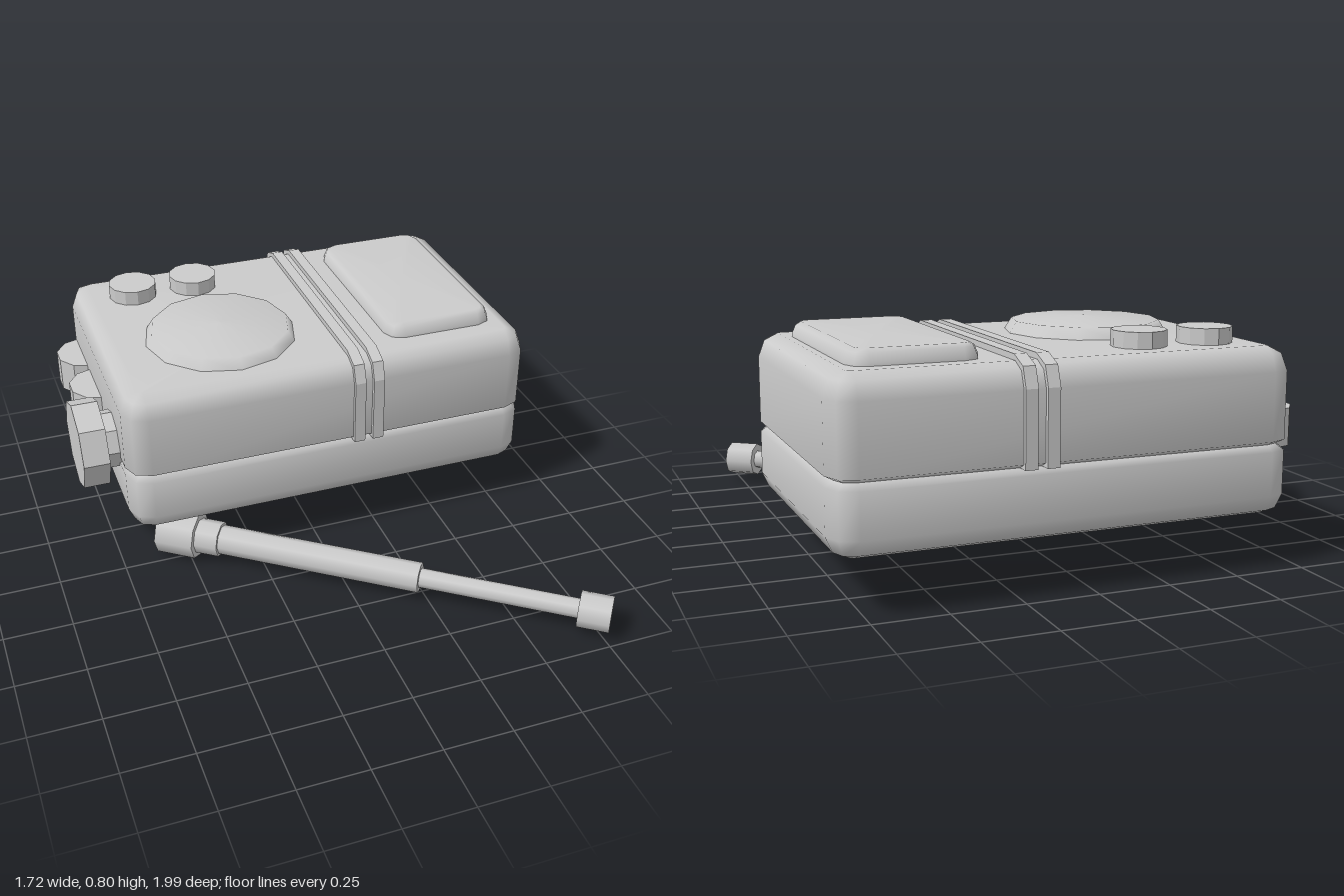
import * as THREE from 'three';

const smooth = new THREE.MeshStandardMaterial({ color: 0xcccccc });
const faceted = new THREE.MeshStandardMaterial({ color: 0xcccccc, flatShading: true });

// Rounded-rectangle loft: layers are [y, inset] from bottom to top
function loft(x0, x1, z0, z1, radius, layers, capBottom, capTop) {
  const pos = [], idx = [], n = 12;
  const cx = (x0 + x1) / 2, cz = (z0 + z1) / 2;
  const hx = (x1 - x0) / 2 - radius, hz = (z1 - z0) / 2 - radius;
  for (const [y, inset] of layers) {
    for (let c = 0; c < 4; c++) {
      const sx = c === 0 || c === 3 ? 1 : -1, sz = c < 2 ? 1 : -1;
      for (let k = 0; k < 3; k++) {
        const a = (c + k / 2) * Math.PI / 2, r = radius - inset;
        pos.push(cx + sx * hx + r * Math.cos(a), y, cz + sz * hz + r * Math.sin(a));
      }
    }
  }
  const last = (layers.length - 1) * n, bottom = pos.length / 3, top = bottom + 1;
  pos.push(cx, layers[0][0], cz, cx, layers[layers.length - 1][0], cz);
  for (let i = 0; i < n; i++) {
    const j = (i + 1) % n;
    for (let b = 0; b < last; b += n) {
      idx.push(b + i, b + n + i, b + j, b + j, b + n + i, b + n + j);
    }
    if (capBottom) idx.push(bottom, i, j);
    if (capTop) idx.push(top, last + j, last + i);
  }
  const g = new THREE.BufferGeometry();
  g.setAttribute('position', new THREE.Float32BufferAttribute(pos, 3));
  g.setIndex(idx);
  g.computeVertexNormals();
  return g;
}

export function createModel() {
  const model = new THREE.Group();
  function add(name, geometry, material = smooth, parent = model) {
    const mesh = new THREE.Mesh(geometry, material);
    mesh.name = name;
    parent.add(mesh);
    return mesh;
  }

  // Case halves meeting at a shallow groove
  add('lowerCase', loft(-0.715, 0.855, -0.98, 0.06, 0.085,
    [[0.18, 0.07], [0.2, 0.022], [0.25, 0], [0.4, 0], [0.42, 0.03]], true, false));
  add('upperCase', loft(-0.715, 0.855, -0.98, 0.06, 0.085,
    [[0.42, 0.03], [0.435, 0], [0.665, 0], [0.722, 0.022], [0.745, 0.07]], false, true));

  // Raised pad on the top
  add('topPad', loft(0.33, 0.76, -0.857, -0.07, 0.065,
    [[0.735, 0], [0.755, 0], [0.785, 0.013], [0.796, 0.032]], false, true));

  // Two bands wrapped over the upper case
  const band = new THREE.Shape([[0.075, 0.42], [0.075, 0.67], [0.05, 0.737], [-0.02, 0.765],
    [-0.9, 0.765], [-0.97, 0.737], [-0.995, 0.67], [-0.995, 0.42]]
    .map(([z, y]) => new THREE.Vector2(-z, y)));
  for (const x of [0.14, 0.213]) {
    const g = new THREE.ExtrudeGeometry(band, { depth: 0.042, bevelEnabled: false });
    g.rotateY(Math.PI / 2);
    add('band', g).position.x = x;
  }

  // Low twelve-sided speaker dome
  const dome = new THREE.LatheGeometry([[0.29, 0.74], [0.262, 0.785], [0, 0.797]]
    .map(([r, y]) => new THREE.Vector2(r, y)), 12);
  add('speakerDome', dome).position.set(-0.255, 0, -0.33);

  // Round buttons on the top
  for (const x of [-0.49, -0.245]) {
    add('topButton', new THREE.CylinderGeometry(0.093, 0.093, 0.08, 12), faceted)
      .position.set(x, 0.76, -0.76);
  }

  // Thumb wheels half sunk in the side
  for (const z of [-0.77, -0.51]) {
    add('thumbWheel', new THREE.CylinderGeometry(0.118, 0.118, 0.13, 10), faceted)
      .position.set(-0.698, 0.455, z);
  }

  // Side dial on a short stem
  const dial = new THREE.Group();
  dial.name = 'sideDial';
  dial.position.set(0, 0.46, -0.2);
  model.add(dial);
  for (const [name, r, x0, x1] of [['dialStem', 0.11, -0.77, -0.7], ['dialKnob', 0.167, -0.86, -0.763]]) {
    const g = new THREE.CylinderGeometry(r, r, x1 - x0, 8).rotateZ(Math.PI / 2);
    add(name, g, faceted, dial).position.x = (x0 + x1) / 2;
  }

  // Telescopic antenna swung out below the case
  const antenna = new THREE.Group();
  antenna.name = 'antenna';
  antenna.position.set(-0.58, 0.09, -0.08);
  antenna.rotation.y = Math.atan2(0.8, 0.6);
  model.add(antenna);
  const sections = [['antennaHinge', 0.09, 0, 0.15], ['antennaCollar', 0.067, 0.14, 0.24],
    ['antennaTube', 0.056, 0.23, 1.01], ['antennaRod', 0.036, 1, 1.6], ['antennaTip', 0.066, 1.585, 1.7]];
  for (const [name, r, a, b] of sections) {
    const g = new THREE.CylinderGeometry(r, r, b - a, 8).rotateX(Math.PI / 2);
    add(name, g, smooth, antenna).position.z = (a + b) / 2;
  }
  return model;
}
